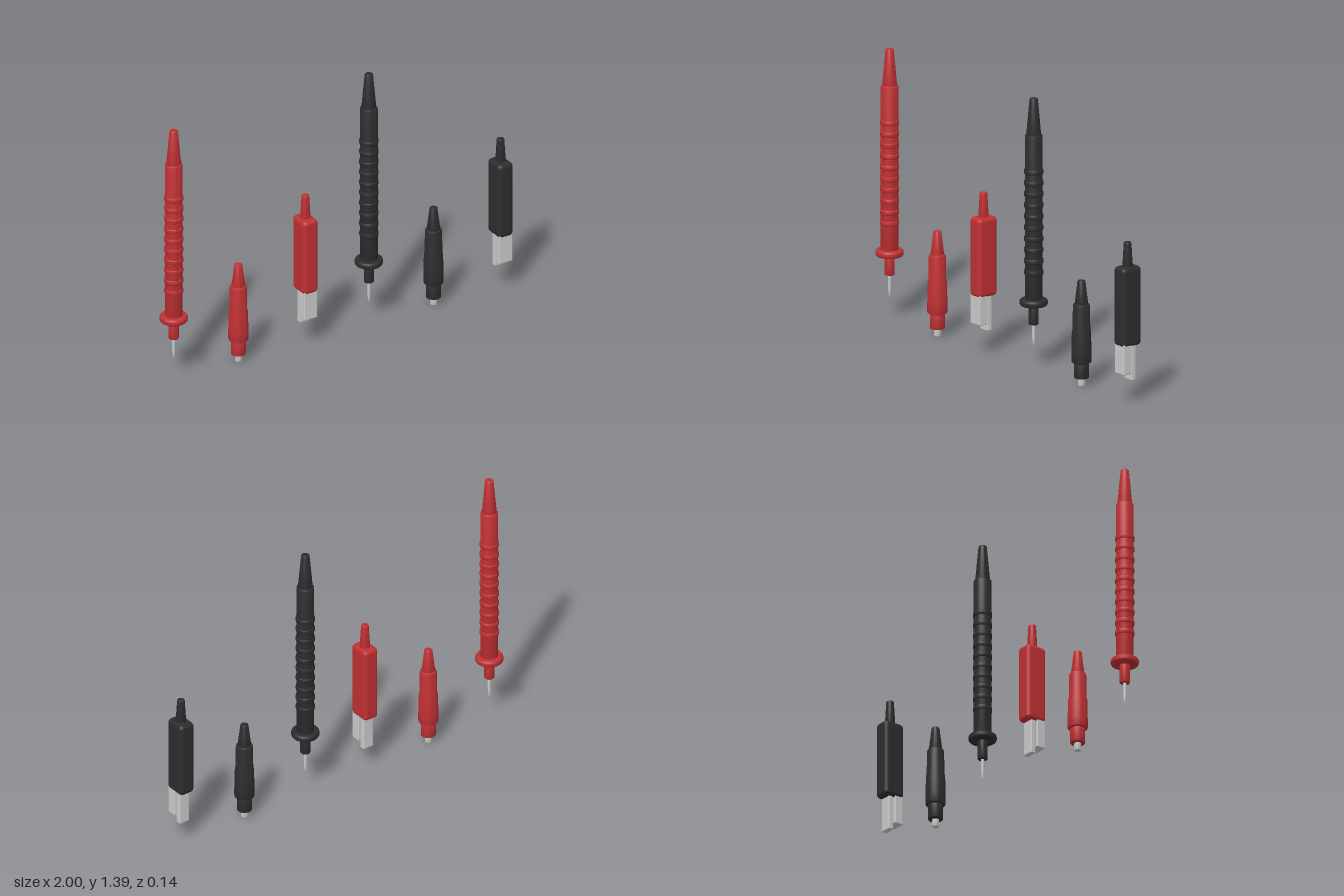
import * as THREE from 'three';
import { toCreasedNormals } from 'three/addons/utils/BufferGeometryUtils.js';
import { RoundedBoxGeometry } from 'three/addons/geometries/RoundedBoxGeometry.js';

function material(name, color) {
  const m = new THREE.MeshStandardMaterial({ color });
  m.name = name;
  return m;
}

// Turned part from [radius, y] pairs, listed bottom to top
function turned(name, profile, mat, segments = 32) {
  const points = profile.map(([r, y]) => new THREE.Vector2(r, y));
  const geo = toCreasedNormals(new THREE.LatheGeometry(points, segments), 0.6);
  const mesh = new THREE.Mesh(geo, mat);
  mesh.name = name;
  return mesh;
}

// Solid tapered barrel with softened rims
function barrel(name, y0, r0, y1, r1, soft, mat) {
  const arc = [0, 0.25, 0.5, 0.75, 1].map((t) => t * Math.PI / 2);
  const low = arc.map((a) => [r0 - soft + soft * Math.sin(a), y0 + soft - soft * Math.cos(a)]);
  const high = arc.map((a) => [r1 - soft + soft * Math.cos(a), y1 - soft + soft * Math.sin(a)]);
  return turned(name, [[0, y0], ...low, ...high, [0, y1]], mat);
}

function roundedBox(name, [x0, x1], [y0, y1], [z0, z1], radius, mat) {
  const geo = new RoundedBoxGeometry(x1 - x0, y1 - y0, z1 - z0, 4, radius);
  const mesh = new THREE.Mesh(geo, mat);
  mesh.position.set((x0 + x1) / 2, (y0 + y1) / 2, (z0 + z1) / 2);
  mesh.name = name;
  return mesh;
}

// Long needle probe with finger guard and ribbed grip
function createProbe(plastic, metal) {
  const g = new THREE.Group();
  g.add(
    turned('needle', [[0, 0.12], [0.003, 0.123], [0.008, 0.16], [0.008, 0.235], [0, 0.235]], metal, 20),
    barrel('needleCollar', 0.23, 0.025, 0.335, 0.025, 0.004, plastic),
    barrel('fingerGuard', 0.327, 0.07, 0.362, 0.07, 0.013, plastic),
    barrel('handle', 0.355, 0.044, 1.205, 0.044, 0.009, plastic),
    barrel('cableSleeve', 1.195, 0.037, 1.39, 0.021, 0.007, plastic)
  );
  for (let i = 0; i < 10; i++) {
    const y = 0.5 + i * 0.0572;
    g.add(barrel('gripRing', y - 0.013, 0.0475, y + 0.013, 0.0475, 0.005, plastic));
  }
  return g;
}

// Short round plug
function createPlug(plastic, metal) {
  const g = new THREE.Group();
  g.add(
    barrel('plugPin', 0, 0.017, 0.06, 0.017, 0.003, metal),
    barrel('plugCollar', 0.04, 0.037, 0.13, 0.037, 0.004, plastic),
    turned('plugBody', [[0, 0.118], [0.043, 0.118], [0.048, 0.121], [0.05, 0.127], [0.05, 0.17],
      [0.0475, 0.275], [0.044, 0.29], [0.0425, 0.408], [0.04, 0.417], [0.034, 0.421], [0, 0.421]], plastic),
    barrel('cableSleeve', 0.41, 0.034, 0.54, 0.02, 0.006, plastic)
  );
  return g;
}

// Flat clip with two stepped jaws
function createClip(plastic, metal) {
  const g = new THREE.Group();
  const sleeve = barrel('cableSleeve', 0.69, 0.026, 0.825, 0.019, 0.006, plastic);
  sleeve.position.z = 0.014;
  g.add(
    sleeve,
    roundedBox('clipBody', [-0.043, 0.043], [0.295, 0.702], [-0.045, 0.073], 0.022, plastic),
    roundedBox('frontJaw', [-0.038, 0.038], [0.155, 0.33], [0.016, 0.067], 0.005, metal),
    roundedBox('backJaw', [-0.03, 0.03], [0.117, 0.33], [-0.016, 0.013], 0.006, metal)
  );
  return g;
}

export function createModel() {
  const model = new THREE.Group();
  model.name = 'testLeadSet';
  const metal = material('metal', 0xcccccc);
  const sets = [
    { label: 'red', plastic: material('redPlastic', 0xc03033), x: -0.93 },
    { label: 'black', plastic: material('blackPlastic', 0x2d2d2f), x: 0.202 }
  ];
  const kinds = [['Probe', createProbe, 0], ['Plug', createPlug, 0.375], ['Clip', createClip, 0.755]];
  for (const { label, plastic, x } of sets) {
    for (const [kind, build, offset] of kinds) {
      const part = build(plastic, metal);
      part.name = label + kind;
      part.position.x = x + offset;
      model.add(part);
    }
  }
  return model;
}
